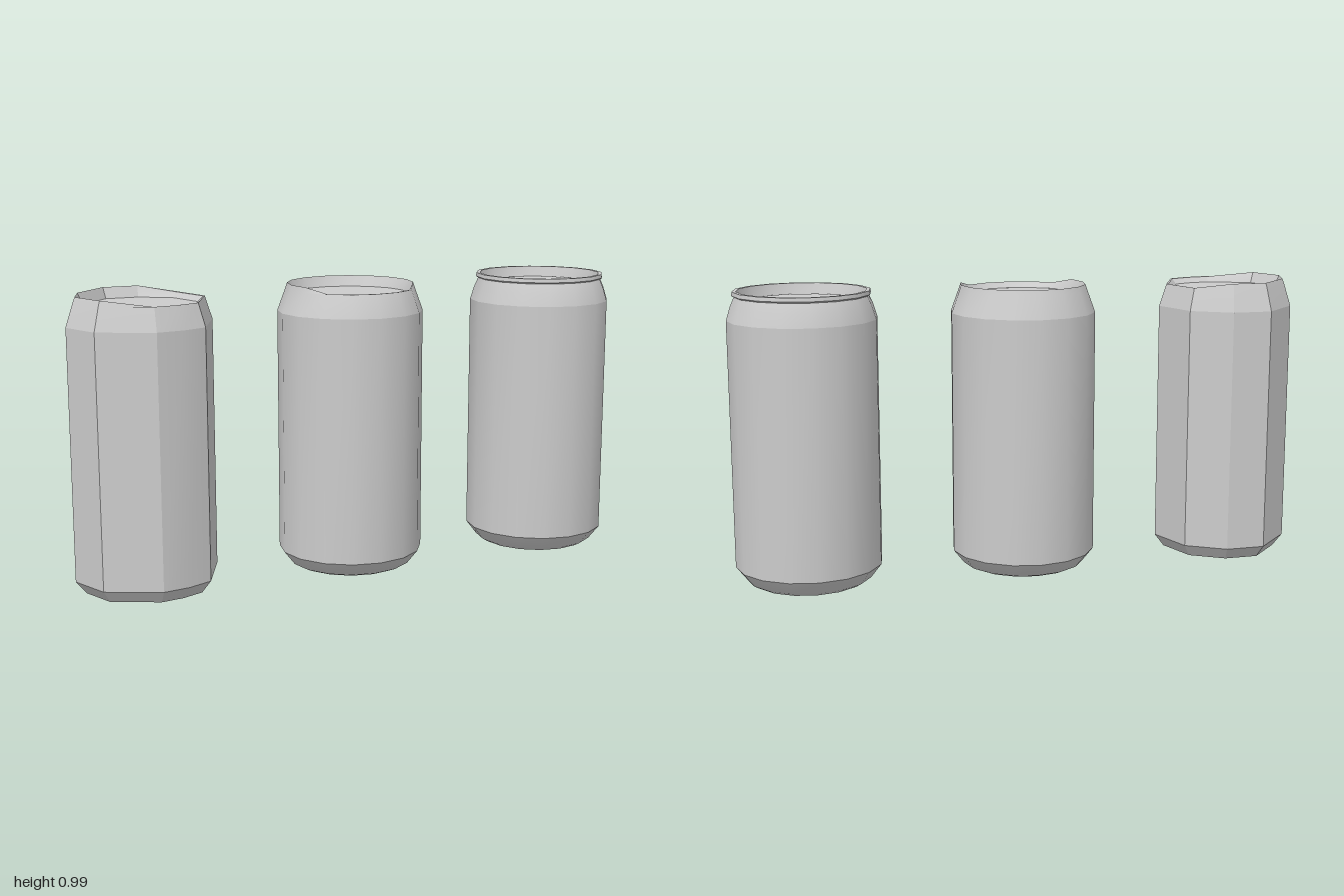
import * as THREE from 'three';
import { toCreasedNormals } from 'three/addons/utils/BufferGeometryUtils.js';

const material = new THREE.MeshStandardMaterial({ color: 0xcccccc, side: THREE.DoubleSide });

// Unit outline with n even sides, starting at +z and turning towards +x
const regular = (n) => Array.from({ length: n }, (_, i) => {
  const a = (i / n) * Math.PI * 2;
  return [Math.sin(a), Math.cos(a)];
});

// Sweeps an outline through [radius, height] rings listed from bottom to top;
// lift(x, z, y) may shift the height of single points
function loft(name, outline, rings, { lift = (x, z, y) => y, crease = 0 } = {}) {
  const n = outline.length, pos = [], index = [];
  for (const [r, y] of rings)
    for (const [x, z] of outline) pos.push(x * r, lift(x, z, y), z * r);
  for (let j = 0; j < rings.length - 1; j++)
    for (let i = 0; i < n; i++) {
      const a = j * n + i, b = j * n + (i + 1) % n, c = a + n, d = b + n;
      if (rings[j][0] > 0) index.push(a, b, d);
      if (rings[j + 1][0] > 0) index.push(a, d, c);
      else if (rings[j][0] > 0) index.splice(-1, 1, c);
    }
  let geo = new THREE.BufferGeometry();
  geo.setAttribute('position', new THREE.Float32BufferAttribute(pos, 3));
  geo.setIndex(index);
  if (crease) geo = toCreasedNormals(geo, crease);
  else geo.computeVertexNormals();
  const mesh = new THREE.Mesh(geo, material);
  mesh.name = name;
  return mesh;
}

function can(name, x, parts) {
  const g = new THREE.Group();
  g.name = name;
  g.position.x = x;
  g.add(...parts);
  return g;
}

// Most detailed can: rolled rim, recessed lid and domed base
function detailedCan() {
  const o = regular(16);
  return can('detailedCan', 0.75, [
    loft('baseDome', o, [[0, 0.05], [0.1, 0.042], [0.165, 0.022], [0.18, 0.004]]),
    loft('baseEdge', o, [[0.18, 0.004], [0.193, 0.002], [0.213, 0.014], [0.25, 0.062]]),
    loft('body', o, [[0.25, 0.062], [0.25, 0.9]]),
    loft('neck', o, [[0.25, 0.9], [0.236, 0.945], [0.222, 0.977]]),
    loft('rim', o, [[0.222, 0.977], [0.23, 0.982], [0.228, 0.995], [0.215, 0.995], [0.205, 0.958]], { crease: 0.6 }),
    loft('lidGroove', o, [[0.205, 0.958], [0.197, 0.954], [0.19, 0.96]]),
    loft('lid', o, [[0.19, 0.96], [0, 0.96]]),
  ]);
}

// Simplified can: plain thin rim that dips at the front, nine-sided lid
function simpleCan() {
  const o = regular(16), lidOutline = regular(9).map(([x, z]) => [x, -z]).reverse();
  const dip = (x, z, y) => (y > 0.98 && z > 0.5 ? 0.978 : y);
  return can('simpleCan', -0.005, [
    loft('baseDome', o, [[0, 0.04], [0.135, 0.036], [0.19, 0.005]]),
    loft('baseEdge', o, [[0.19, 0.005], [0.213, 0.015], [0.25, 0.062]]),
    loft('body', o, [[0.25, 0.062], [0.25, 0.9]]),
    loft('neck', o, [[0.25, 0.9], [0.222, 0.977], [0.216, 0.995]], { lift: dip }),
    loft('rimInside', o, [[0.216, 0.995], [0.2, 0.958]], { lift: dip }),
    loft('lid', lidOutline, [[0.21, 0.958], [0, 0.958]]),
  ]);
}

// Coarsest can: uneven ten-sided outline, flat recessed ends, rim lower on one side
function coarseCan() {
  const o = [
    [-0.08, 0.97], [0.28, 0.92], [0.62, 0.78], [0.97, 0.04], [0.76, -0.62],
    [0.25, -0.95], [-0.3, -0.95], [-0.83, -0.42], [-1, 0.08], [-0.78, 0.64],
  ];
  const dip = (x, z, y) => (y > 0.98 && (x > 0.5 || z > 0.9) ? 0.976 : y);
  const flat = { crease: 0.4, lift: dip };
  return can('coarseCan', -0.75, [
    loft('base', o, [[0, 0.045], [0.175, 0.045], [0.215, 0.018]], flat),
    loft('baseEdge', o, [[0.215, 0.018], [0.25, 0.062]], flat),
    loft('body', o, [[0.25, 0.062], [0.25, 0.9]], flat),
    loft('neck', o, [[0.25, 0.9], [0.224, 0.977], [0.217, 0.995]], flat),
    loft('rimInside', o, [[0.217, 0.995], [0.2, 0.958]], flat),
    loft('lid', o, [[0.2, 0.958], [0, 0.958]], flat),
  ]);
}

export function createModel() {
  const model = new THREE.Group();
  model.name = 'cans';
  model.add(detailedCan(), simpleCan(), coarseCan());
  return model;
}
